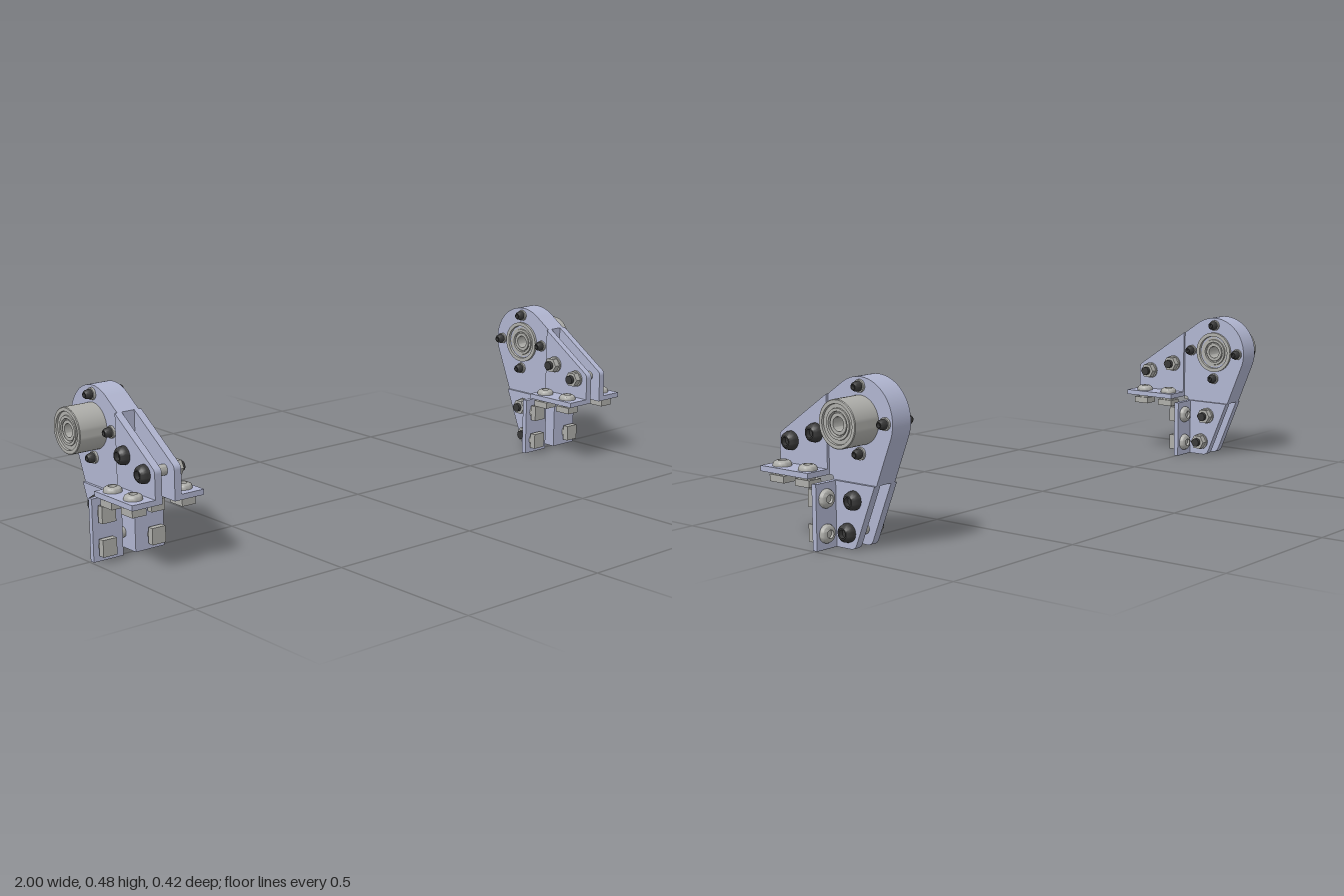
import * as THREE from 'three';
import { toCreasedNormals } from 'three/addons/utils/BufferGeometryUtils.js';

const mat = (name, color) => {
  const m = new THREE.MeshStandardMaterial({ color });
  m.name = name;
  return m;
};
const UP = new THREE.Vector3(0, 1, 0);
const CENTRE = 0.874, BORE_Z = -0.094, BORE_Y = 0.362;

export function createModel() {
  const plate = mat('blueGreyPlate', 0xb0b5d0);
  const steel = mat('steel', 0xaeaeaa);
  const dark = mat('darkScrew', 0x383838);

  const add = (group, name, geo, material, x = 0, y = 0, z = 0) => {
    const m = new THREE.Mesh(geo, material);
    m.name = name;
    m.position.set(x, y, z);
    group.add(m);
    return m;
  };
  // Turned part: profile of [radius, height], axis pointing along dir
  const turned = (group, name, profile, material, pos, dir, sides = 28) => {
    const pts = profile.map(p => new THREE.Vector2(p[0], p[1]));
    const geo = toCreasedNormals(new THREE.LatheGeometry(pts, sides), 0.6);
    const m = add(group, name, geo, material, ...pos);
    m.quaternion.setFromUnitVectors(UP, new THREE.Vector3(...dir));
    return m;
  };
  // Side profile drawn in (z, y), extruded across x from x0 to x1
  const slab = (group, name, shape, x0, x1) => {
    const geo = new THREE.ExtrudeGeometry(shape, { depth: x1 - x0, bevelEnabled: false, curveSegments: 40 });
    geo.rotateY(-Math.PI / 2);
    geo.translate(x1, 0, 0);
    add(group, name, geo, plate);
  };

  // Teardrop hub block with a bore for the bearing
  const hub = new THREE.Shape();
  hub.moveTo(0.027, 0.197);
  hub.lineTo(0.027, 0.422);
  hub.absarc(BORE_Z, BORE_Y, 0.118, 0.97, 3.53, false);
  hub.lineTo(-0.15, 0.186);
  hub.lineTo(0.012, 0.186);
  hub.quadraticCurveTo(0.012, 0.197, 0.02, 0.197);
  const bore = new THREE.Path();
  bore.absarc(BORE_Z, BORE_Y, 0.05, 0, Math.PI * 2, true);
  hub.holes.push(bore);

  // Front wing and lower leg outlines
  const wing = new THREE.Shape();
  wing.moveTo(0.027, 0.197);
  wing.lineTo(0.212, 0.197);
  wing.lineTo(0.212, 0.285);
  wing.quadraticCurveTo(0.212, 0.296, 0.202, 0.302);
  wing.lineTo(0.027, 0.422);
  const leg = new THREE.Shape();
  leg.moveTo(0.012, 0);
  leg.lineTo(0.012, 0.186);
  leg.lineTo(-0.15, 0.186);
  leg.lineTo(-0.081, 0.018);
  leg.quadraticCurveTo(-0.074, 0, -0.058, 0);

  // Button head with a socket recess
  const head = (r, h) => [[0, h * 0.5], [r * 0.42, h * 0.5], [r * 0.45, h], [r * 0.6, h],
    [r * 0.88, h * 0.72], [r, h * 0.3], [r, 0], [0, 0]].reverse();
  const disc = (r, h) => [[0, 0], [r, 0], [r, h], [0, h]];

  const sideBolts = [[0.165, 0.278], [0.069, 0.311], [-0.073, 0.139], [-0.05, 0.046]];
  const hubScrews = [[-0.095, 0.455], [-0.002, 0.362], [-0.187, 0.361], [-0.094, 0.27]];

  const buildBracket = (s) => {
    const g = new THREE.Group();
    slab(g, 'hubBlock', hub, -0.036, 0.036);

    for (const k of [-1, 1]) {
      // Angle plates with outward flanges
      const a = k > 0 ? 0.021 : -0.044, b = k > 0 ? 0.044 : -0.021;
      slab(g, 'wingPlate', wing, a, b);
      slab(g, 'legPlate', leg, a, b);
      add(g, 'wingFlange', new THREE.BoxGeometry(0.08, 0.016, 0.185), plate, k * 0.08, 0.205, 0.1195);
      add(g, 'legFlange', new THREE.BoxGeometry(0.08, 0.186, 0.016), plate, k * 0.08, 0.093, 0.004);

      // Flange bolts with slot nuts
      for (const z of [0.163, 0.063]) {
        turned(g, 'flangeBolt', head(0.027, 0.016), steel, [k * 0.083, 0.213, z], [0, 1, 0]);
        turned(g, 'nutNeck', disc(0.02, 0.012), steel, [k * 0.083, 0.186, z], [0, 1, 0]);
        add(g, 'slotNut', new THREE.BoxGeometry(0.046, 0.02, 0.055), steel, k * 0.083, 0.179, z);
      }
      for (const y of [0.142, 0.044]) {
        turned(g, 'flangeBolt', head(0.027, 0.016), steel, [k * 0.083, y, -0.004], [0, 0, -1]);
        turned(g, 'nutNeck', disc(0.02, 0.012), steel, [k * 0.083, y, 0.011], [0, 0, 1]);
        add(g, 'slotNut', new THREE.BoxGeometry(0.046, 0.05, 0.02), steel, k * 0.083, y, 0.031);
      }

      // Small screws around the bearing
      for (const [z, y] of hubScrews) {
        turned(g, 'screwWasher', disc(0.018, 0.007), steel, [k * 0.036, y, z], [k, 0, 0], 20);
        turned(g, 'hubScrew', head(0.0145, 0.021), dark, [k * 0.043, y, z], [k, 0, 0], 20);
      }
    }

    // Through bolts: dark head outside, hex nut inside, spacer between the plates
    for (const [z, y] of sideBolts) {
      turned(g, 'sideBoltHead', head(0.027, 0.026), dark, [s * 0.044, y, z], [s, 0, 0]);
      turned(g, 'spacer', disc(0.016, 0.044), steel, [-0.022, y, z], [1, 0, 0]);
      turned(g, 'washer', disc(0.027, 0.006), steel, [-s * 0.044, y, z], [-s, 0, 0]);
      turned(g, 'hexNut', disc(0.025, 0.02), steel, [-s * 0.05, y, z], [-s, 0, 0], 6);
      turned(g, 'boltEnd', disc(0.014, 0.012), dark, [-s * 0.07, y, z], [-s, 0, 0], 20);
    }

    // Stepped bearing barrel, open through the middle
    turned(g, 'bearingBarrel', [
      [0.02, -0.038], [0.03, -0.038], [0.031, -0.033], [0.034, -0.033], [0.035, -0.04], [0.043, -0.04],
      [0.044, -0.036], [0.055, -0.036], [0.056, -0.044], [0.068, -0.044],
      [0.068, 0.124], [0.066, 0.126], [0.056, 0.126], [0.055, 0.12], [0.044, 0.12], [0.043, 0.123],
      [0.035, 0.123], [0.034, 0.114], [0.031, 0.114], [0.03, 0.12], [0.02, 0.12], [0.02, -0.038],
    ], steel, [0, BORE_Y, BORE_Z], [s, 0, 0], 48);

    g.position.x = s * CENTRE;
    return g;
  };

  const model = new THREE.Group();
  model.name = 'bracketPair';
  for (const s of [1, -1]) {
    const bracket = buildBracket(s);
    bracket.name = s > 0 ? 'leftBracket' : 'rightBracket';
    model.add(bracket);
  }
  return model;
}
